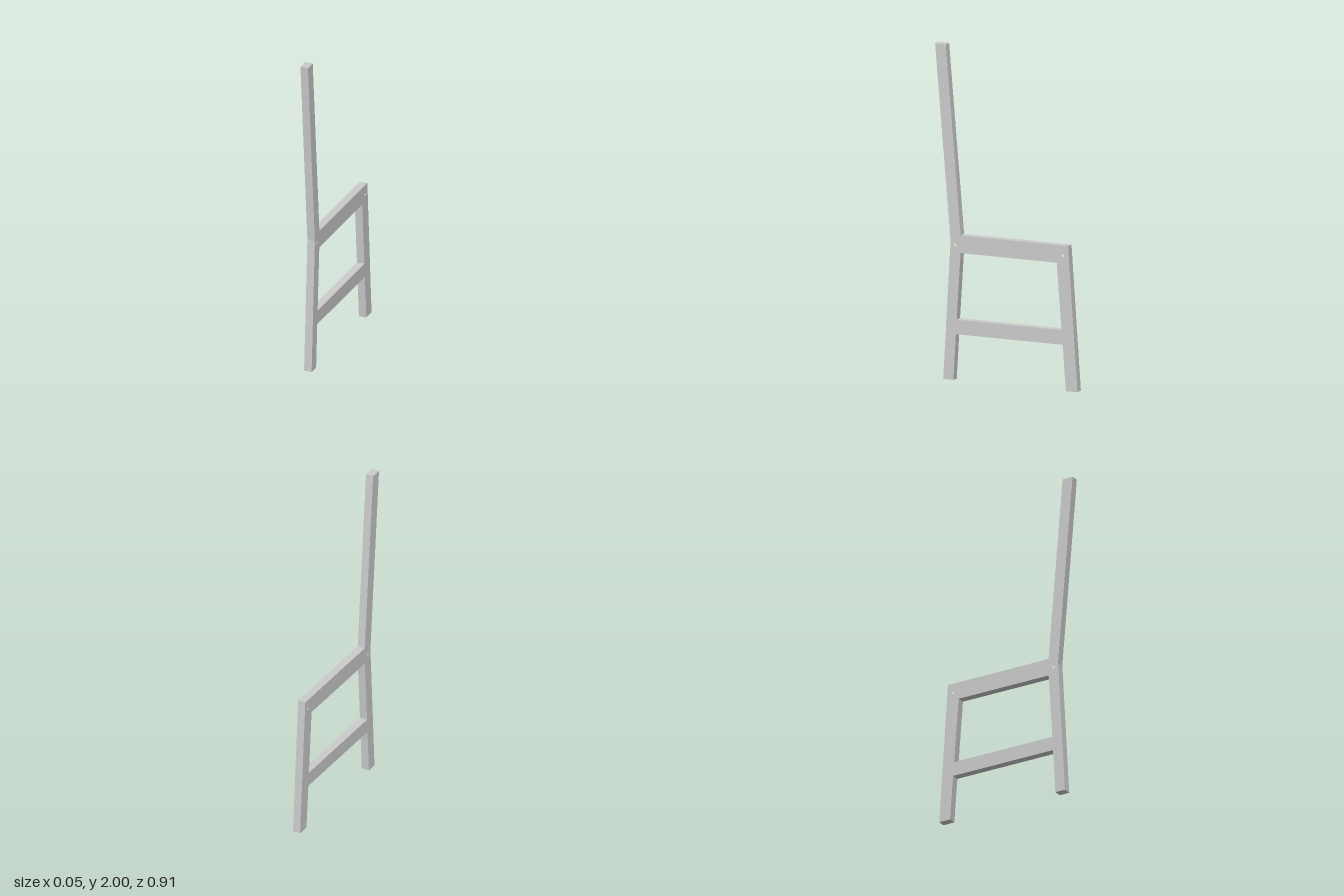
import * as THREE from 'three';

const WIDTH = 0.048;

// Closed profile from [z, y] points
const trace = (path, pts) => path.setFromPoints(pts.map(([z, y]) => new THREE.Vector2(z, y)));

export function createModel() {
  const group = new THREE.Group();
  group.name = 'chairSide';

  // Raked back post, seat rail, splayed legs and lower stretcher in one outline
  const outline = trace(new THREE.Shape(), [
    [0.404, 0], [0.339, 0], [0.323, 0.275],       // back leg foot
    [-0.36, 0.275], [-0.381, 0], [-0.455, 0],     // stretcher underside, front foot
    [-0.395, 0.868], [0.292, 0.868],              // front leg, seat rail top
    [0.388, 2], [0.456, 2], [0.357, 0.83],        // back post
  ]);

  // Opening between seat rail and stretcher
  outline.holes.push(trace(new THREE.Path(), [
    [0.293, 0.762], [-0.322, 0.762], [-0.353, 0.362], [0.318, 0.362],
  ]));

  // Bolt holes at both ends of the seat rail
  for (const z of [0.327, -0.362]) {
    outline.holes.push(new THREE.Path().absarc(z, 0.808, 0.007, 0, Math.PI * 2, true));
  }

  const geometry = new THREE.ExtrudeGeometry(outline, {
    depth: WIDTH, bevelEnabled: false, curveSegments: 16,
  });
  geometry.translate(0, 0, -WIDTH / 2).rotateY(-Math.PI / 2);

  const frame = new THREE.Mesh(geometry, new THREE.MeshStandardMaterial({ color: 0xcccccc }));
  frame.name = 'sideFrame';
  group.add(frame);
  return group;
}
